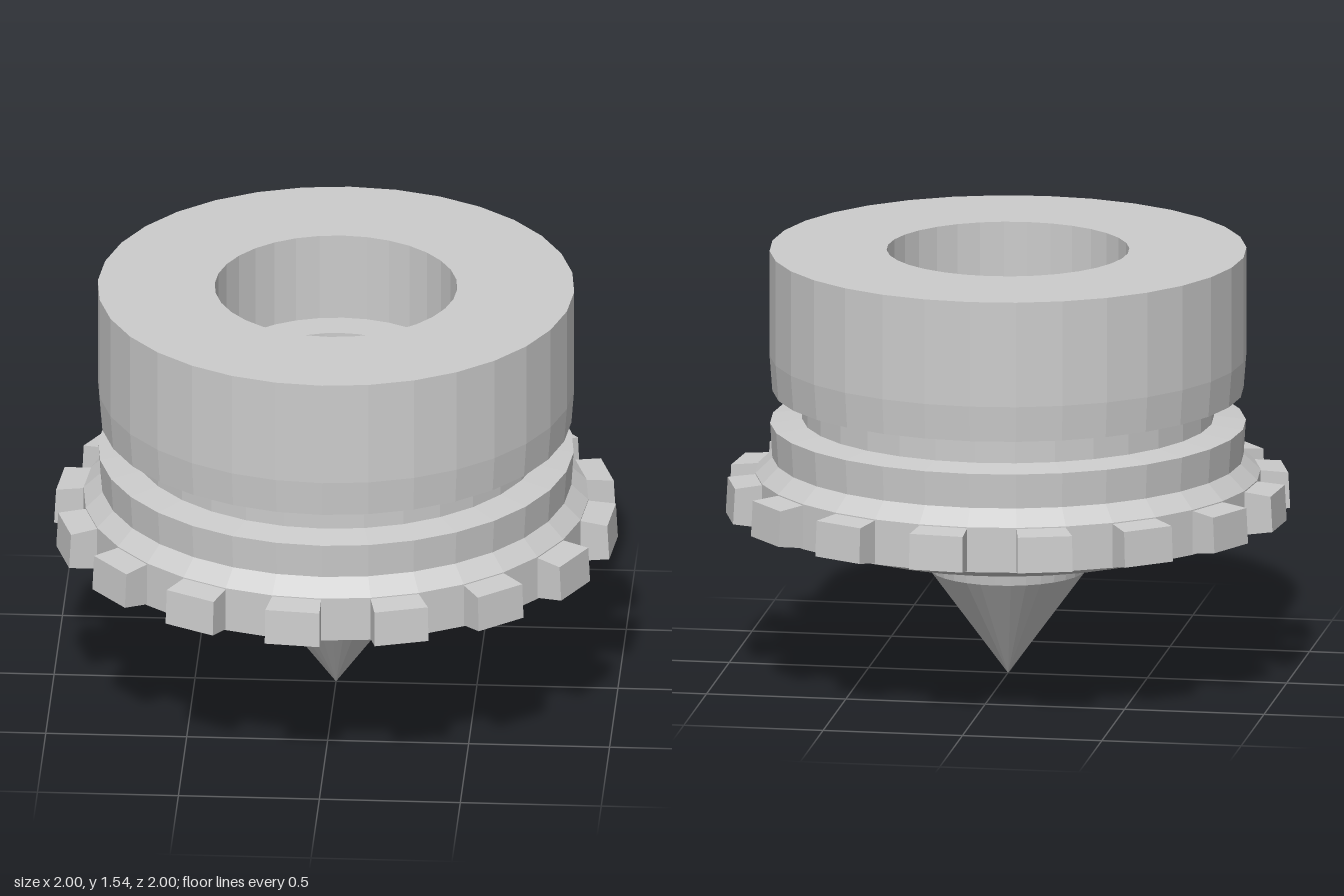
import * as THREE from 'three';

const SEGMENTS = 32;
const material = new THREE.MeshStandardMaterial({ color: 0xcccccc, flatShading: true });

// Turned part from [radius, height] pairs
function turned(name, profile) {
  const points = profile.map(([r, y]) => new THREE.Vector2(r, y));
  const mesh = new THREE.Mesh(new THREE.LatheGeometry(points, SEGMENTS), material);
  mesh.name = name;
  return mesh;
}

// Wedge filling one facet of the rim, slightly lower at its outer face
function toothGeometry() {
  const geometry = new THREE.BoxGeometry(1, 1, 1);
  const p = geometry.attributes.position;
  const step = (Math.PI * 2) / SEGMENTS;
  for (let i = 0; i < p.count; i++) {
    const outer = p.getX(i) > 0;
    const top = p.getY(i) > 0;
    const angle = p.getZ(i) > 0 ? step : 0;
    const r = outer ? (top ? 0.993 : 1) : 0.885;
    const y = top ? (outer ? 0.72 : 0.73) : (outer ? 0.592 : 0.572);
    p.setXYZ(i, r * Math.cos(angle), y, r * Math.sin(angle));
  }
  geometry.computeVertexNormals();
  return geometry;
}

export function createModel() {
  const model = new THREE.Group();
  model.name = 'toothedSpikeCap';

  // Grooved body with a central well
  model.add(turned('body', [
    [0.29, 0.495], [0.63, 0.495],
    [0.895, 0.57], [0.895, 0.733],
    [0.835, 0.79], [0.843, 0.915],
    [0.73, 0.93], [0.73, 1.02],
    [0.835, 1.032], [0.845, 1.16], [0.845, 1.54],
    [0.43, 1.54], [0.43, 1.22],
    [0.3, 1.22], [0.3, 0.495],
  ]));

  // Hollow pointed tip
  model.add(turned('spike', [[0, 0], [0.278, 0.38], [0.298, 0.5]]));
  model.add(turned('spikeLining', [[0.3, 0.5], [0.27, 0.385], [0, 0.015]]));

  // Teeth around the rim
  const teeth = new THREE.Group();
  teeth.name = 'teeth';
  const geometry = toothGeometry();
  const count = SEGMENTS / 2;
  for (let i = 0; i < count; i++) {
    const tooth = new THREE.Mesh(geometry, material);
    tooth.name = 'tooth';
    tooth.rotation.y = (i / count) * Math.PI * 2;
    teeth.add(tooth);
  }
  model.add(teeth);
  return model;
}
